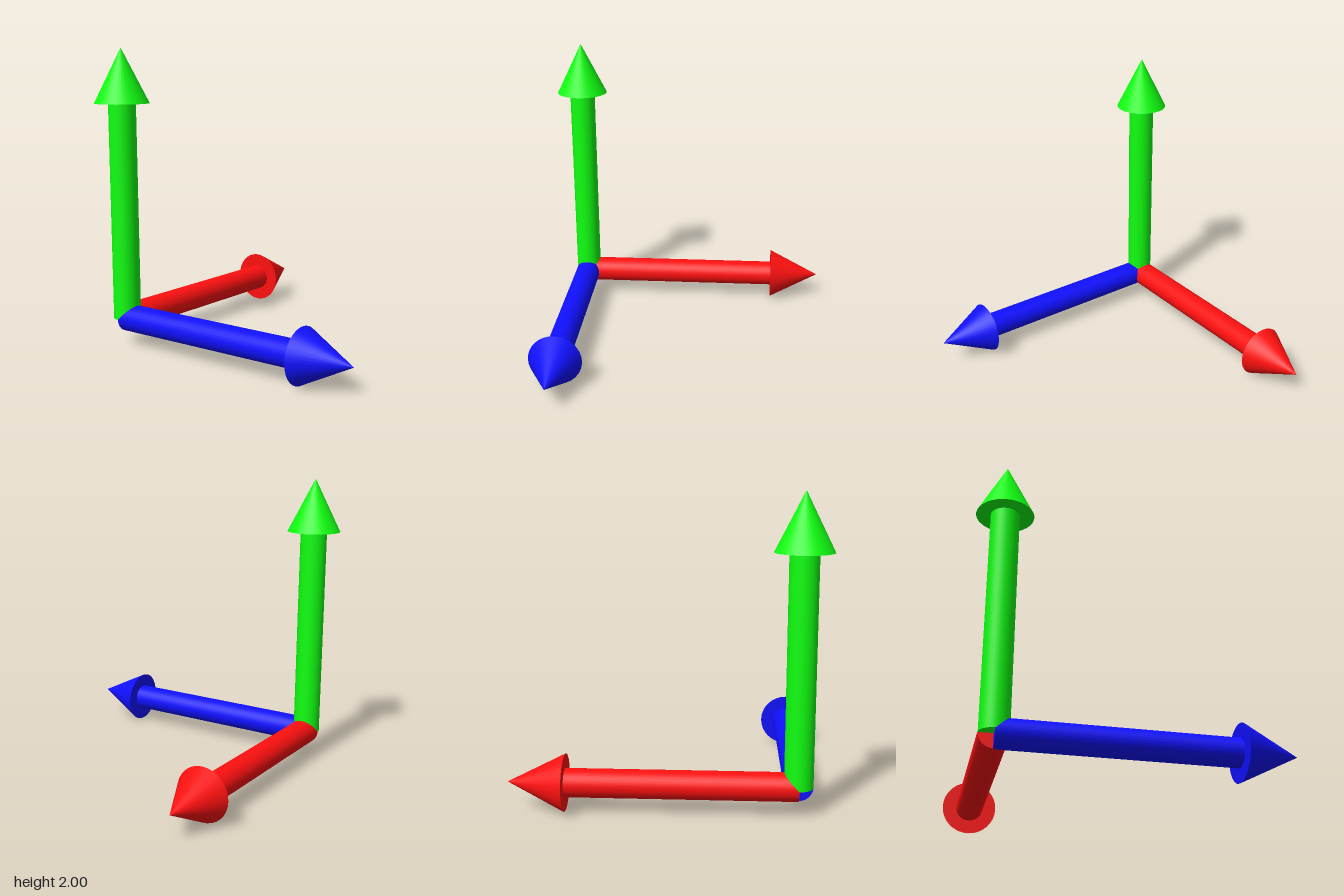
import * as THREE from 'three';

const UNIT = 2 / 1.1; // length of one arrow
const SHAFT = 0.8 * UNIT, HEAD = 0.2 * UNIT;
const SHAFT_RADIUS = 0.05 * UNIT, HEAD_RADIUS = 0.1 * UNIT;
const SEGMENTS = 32;

// One arrow pointing along +y, starting at its own origin
function createArrow(name, color) {
  const material = new THREE.MeshStandardMaterial({ color });
  const arrow = new THREE.Group();
  arrow.name = name + 'Arrow';

  const shaft = new THREE.Mesh(
    new THREE.CylinderGeometry(SHAFT_RADIUS, SHAFT_RADIUS, SHAFT, SEGMENTS), material);
  shaft.name = name + 'Shaft';
  shaft.position.y = SHAFT / 2;

  const head = new THREE.Mesh(
    new THREE.ConeGeometry(HEAD_RADIUS, HEAD, SEGMENTS), material);
  head.name = name + 'Head';
  head.position.y = SHAFT + HEAD / 2;

  arrow.add(shaft, head);
  return arrow;
}

export function createModel() {
  const model = new THREE.Group();
  model.name = 'axisArrows';

  const xArrow = createArrow('x', 0xff1010);
  xArrow.rotation.z = -Math.PI / 2;
  const yArrow = createArrow('y', 0x10ff10);
  const zArrow = createArrow('z', 0x1010ff);
  zArrow.rotation.x = Math.PI / 2;

  // All three arrows share one corner
  for (const arrow of [xArrow, yArrow, zArrow]) {
    arrow.position.set(HEAD_RADIUS - 1, HEAD_RADIUS, HEAD_RADIUS - 1);
    model.add(arrow);
  }
  return model;
}
